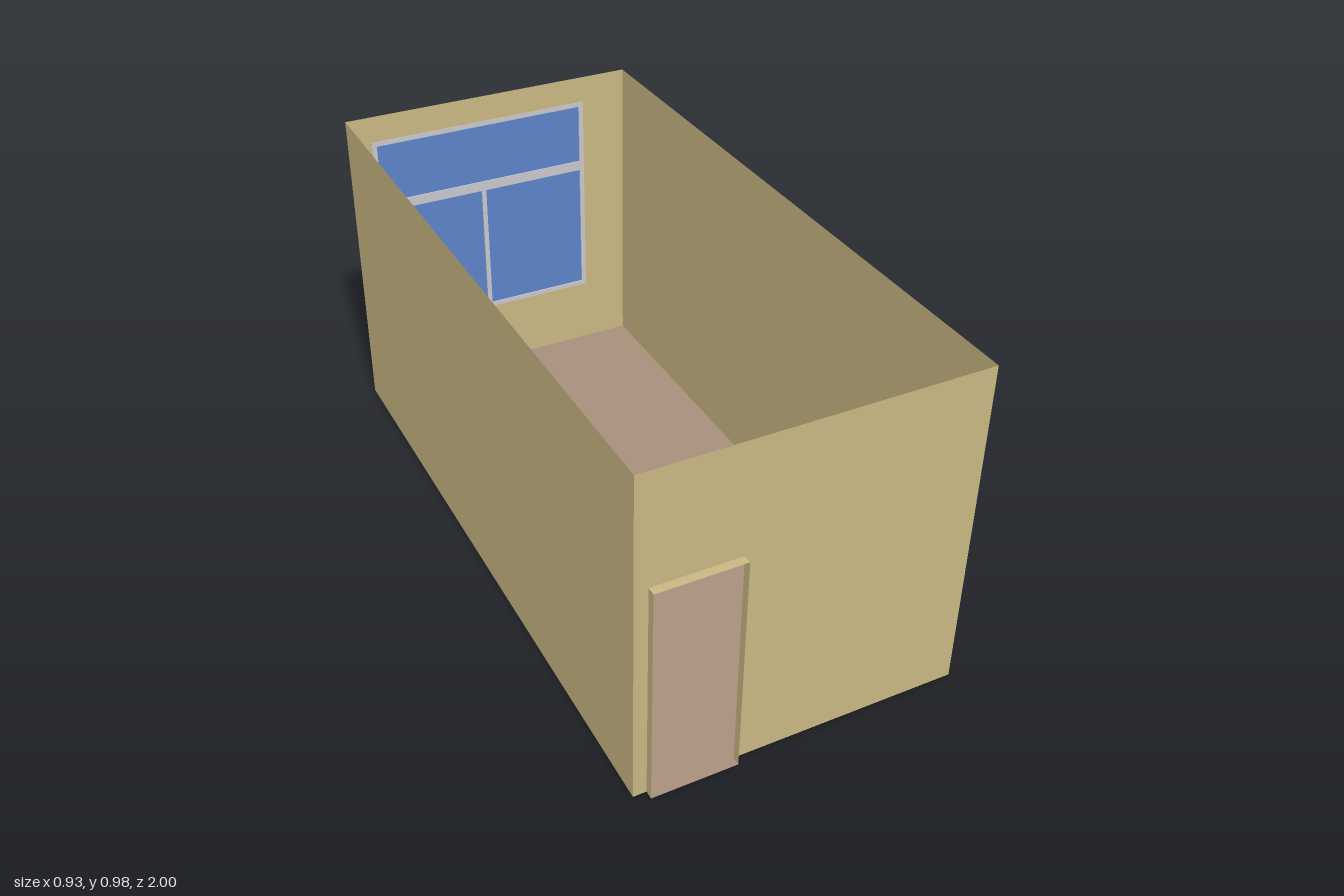
import * as THREE from 'three';

const mat = (name, color) =>
  new THREE.MeshStandardMaterial({ name, color, side: THREE.DoubleSide });

export function createModel() {
  const wall = mat('wallTan', 0xc9b782);
  const floor = mat('floorBrown', 0xa88f7c);
  const frame = mat('frameGrey', 0xc8c8cc);
  const glass = mat('glassBlue', 0x5c82c8);

  const W = 0.467, H = 0.979, ZF = 0.976, ZB = -0.982;
  const door = { x0: -0.43, x1: -0.187, y: 0.656 };
  const win = { x0: -0.392, x1: 0.323, y0: 0.215, y1: 0.895 };

  const model = new THREE.Group();
  model.name = 'room';
  const add = (name, geo, material, x = 0, y = 0, z = 0, parent = model) => {
    const m = new THREE.Mesh(geo, material);
    m.name = name;
    m.position.set(x, y, z);
    parent.add(m);
    return m;
  };
  const polygon = (pts) => new THREE.Shape(pts.map(([x, y]) => new THREE.Vector2(x, y)));
  const rect = (x0, y0, x1, y1) => polygon([[x0, y0], [x1, y0], [x1, y1], [x0, y1]]);

  // Floor sheet, with a tongue running out through the doorway
  const floorShape = polygon([
    [-W, -ZB], [-W, -ZF], [door.x0, -ZF], [door.x0, -1],
    [door.x1, -1], [door.x1, -ZF], [W, -ZF], [W, -ZB],
  ]);
  add('floor', new THREE.ShapeGeometry(floorShape), floor).rotation.x = -Math.PI / 2;

  // Thin side walls
  for (const s of [-1, 1]) {
    const side = add(s > 0 ? 'leftWall' : 'rightWall',
      new THREE.PlaneGeometry(ZF - ZB, H), wall, s * W, H / 2, (ZF + ZB) / 2);
    side.rotation.y = s * Math.PI / 2;
  }

  // Front wall cut around the doorway
  const frontShape = polygon([
    [-W, 0], [door.x0, 0], [door.x0, door.y], [door.x1, door.y],
    [door.x1, 0], [W, 0], [W, H], [-W, H],
  ]);
  add('frontWall', new THREE.ShapeGeometry(frontShape), wall, 0, 0, ZF);

  // Doorway reveal: two jambs and a lintel projecting forwards
  const depth = 1 - ZF, zMid = (1 + ZF) / 2;
  for (const x of [door.x0, door.x1]) {
    add('doorJamb', new THREE.PlaneGeometry(depth, door.y), wall, x, door.y / 2, zMid)
      .rotation.y = x === door.x0 ? -Math.PI / 2 : Math.PI / 2;
  }
  add('doorLintel', new THREE.PlaneGeometry(door.x1 - door.x0, depth), wall,
    (door.x0 + door.x1) / 2, door.y, zMid).rotation.x = -Math.PI / 2;

  // Back wall with the window opening, turned to face outwards
  const backShape = rect(-W, 0, W, H);
  backShape.holes.push(rect(-win.x1, win.y0, -win.x0, win.y1));
  add('backWall', new THREE.ShapeGeometry(backShape), wall, 0, 0, ZB).rotation.y = Math.PI;

  // Window: outer frame, transom, mullion below it, and recessed panes
  const windowGroup = new THREE.Group();
  windowGroup.name = 'window';
  model.add(windowGroup);
  const T = 0.015, transom = { y0: 0.654, y1: 0.686 };
  const bar = (name, x0, y0, x1, y1) => add(name,
    new THREE.BoxGeometry(x1 - x0, y1 - y0, 1 + ZB + 0.002), frame,
    (x0 + x1) / 2, (y0 + y1) / 2, (ZB - 1 + 0.002) / 2, windowGroup);
  const xi0 = win.x0 + T, xi1 = win.x1 - T, xm = (win.x0 + win.x1) / 2;
  bar('frameSide', win.x0, win.y0, xi0, win.y1);
  bar('frameSide', xi1, win.y0, win.x1, win.y1);
  bar('frameBottom', xi0, win.y0, xi1, win.y0 + T);
  bar('frameTop', xi0, win.y1 - T, xi1, win.y1);
  bar('transom', xi0, transom.y0, xi1, transom.y1);
  bar('mullion', xm - T / 2, win.y0 + T, xm + T / 2, transom.y0);

  const pane = (x0, y0, x1, y1) => add('pane', new THREE.PlaneGeometry(x1 - x0, y1 - y0),
    glass, (x0 + x1) / 2, (y0 + y1) / 2, ZB - 0.002, windowGroup).rotation.y = Math.PI;
  pane(xi0, transom.y1, xi1, win.y1 - T);
  pane(xi0, win.y0 + T, xm - T / 2, transom.y0);
  pane(xm + T / 2, win.y0 + T, xi1, transom.y0);

  return model;
}
